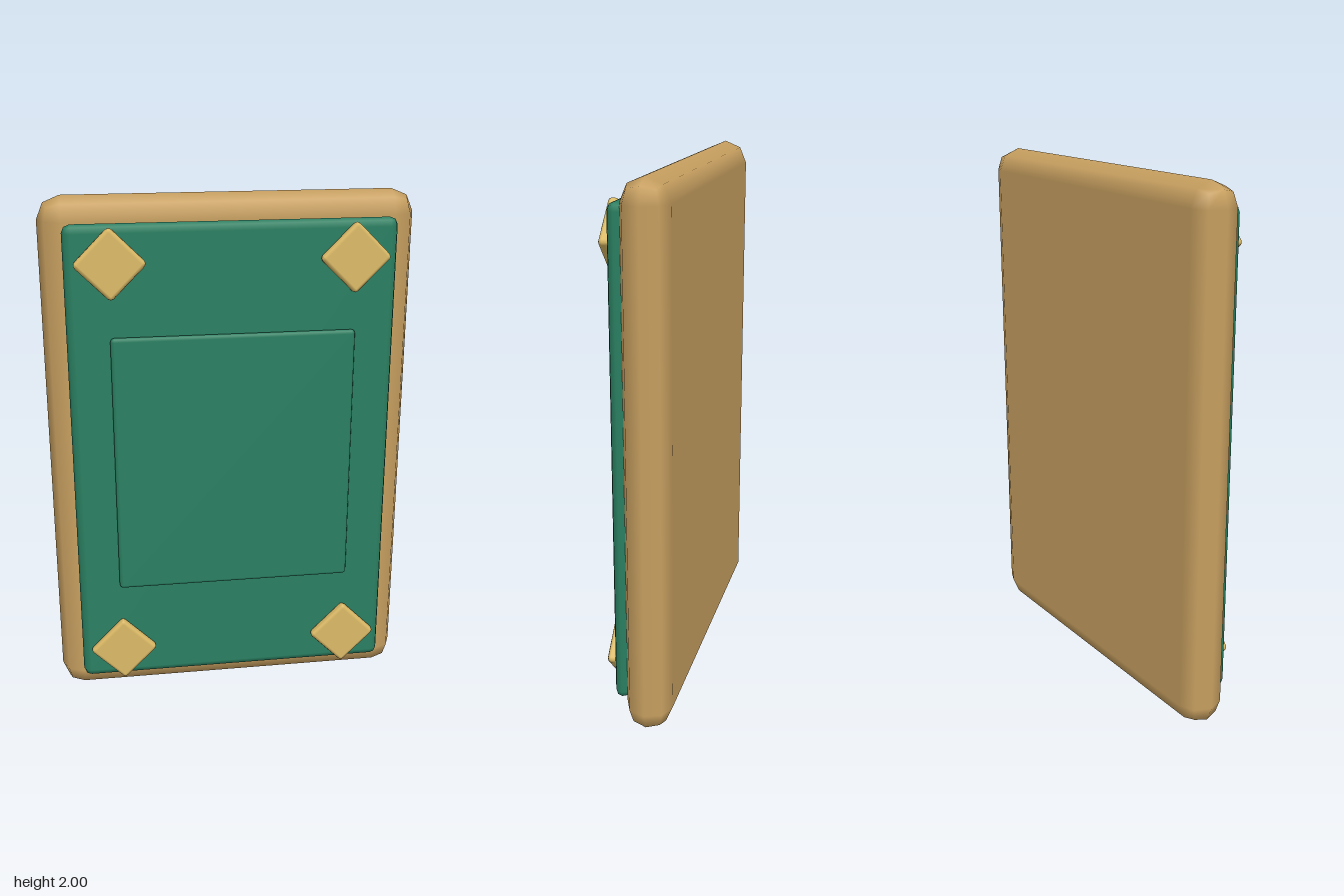
import * as THREE from 'three';
import { RoundedBoxGeometry } from 'three/addons/geometries/RoundedBoxGeometry.js';

const material = (color) => new THREE.MeshStandardMaterial({ color });

export function createModel() {
  const model = new THREE.Group();
  const wood = material(0xc8a060);
  const green = material(0x2a8062);
  const gold = material(0xdcba66);

  // Bevelled slab centred on (x, y) whose front face lies at z = front
  function slab(name, [w, h, d], radius, mat, x, y, front) {
    const mesh = new THREE.Mesh(new RoundedBoxGeometry(w, h, d, 1, radius), mat);
    mesh.name = name;
    mesh.position.set(x, y, front - d / 2);
    model.add(mesh);
    return mesh;
  }

  // Thick backing frame, raised panel and its central inset
  slab('frame', [1.394, 2, 0.172], 0.086, wood, 0, 1, 0.041);
  slab('panel', [1.222, 1.825, 0.06], 0.03, green, 0, 1, 0.094);
  slab('centerPlate', [0.91, 1.013, 0.03], 0.014, green, 0, 1, 0.122);

  // Diamond studs in the four corners
  for (const sx of [-1, 1]) {
    for (const sy of [-1, 1]) {
      const name = (sy > 0 ? 'upper' : 'lower') + (sx > 0 ? 'Left' : 'Right') + 'Stud';
      const stud = slab(name, [0.19, 0.19, 0.04], 0.015, gold, sx * 0.447, 1 + sy * 0.776, 0.131);
      stud.rotation.z = Math.PI / 4;
    }
  }
  return model;
}
